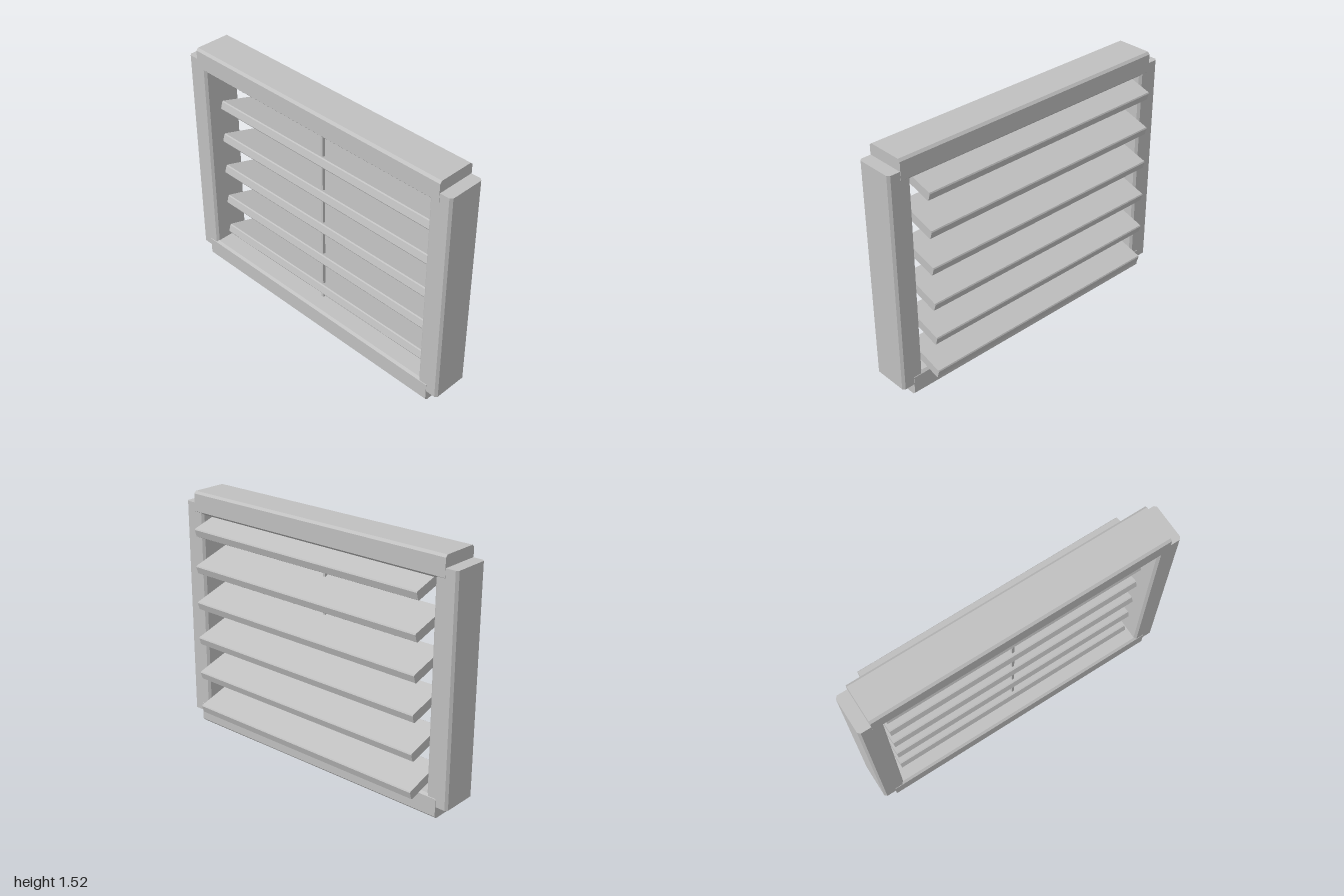
import * as THREE from 'three';

// Bar with chamfered long edges, running along z and centred on the origin
function chamferedBar(w, h, length, c) {
  const x = w / 2, y = h / 2;
  const shape = new THREE.Shape([
    [-x + c, -y], [x - c, -y], [x, -y + c], [x, y - c],
    [x - c, y], [-x + c, y], [-x, y - c], [-x, -y + c],
  ].map(([a, b]) => new THREE.Vector2(a, b)));
  const geometry = new THREE.ExtrudeGeometry(shape, { depth: length, bevelEnabled: false });
  return geometry.translate(0, 0, -length / 2);
}

export function createModel() {
  const model = new THREE.Group();
  model.name = 'louverWindow';
  const grey = new THREE.MeshStandardMaterial({ color: 0xc0c0c0 });
  grey.name = 'paleGrey';

  const add = (name, geometry, x, y, z) => {
    const mesh = new THREE.Mesh(geometry, grey);
    mesh.name = name;
    mesh.position.set(x, y, z);
    model.add(mesh);
    return mesh;
  };

  // Frame: two upright posts and two shorter-ended rails
  const postGeometry = chamferedBar(0.14, 0.24, 1.376, 0.014).rotateX(Math.PI / 2);
  add('leftPost', postGeometry, 0.93, 0.762, 0.05);
  add('rightPost', postGeometry, -0.93, 0.762, 0.05);

  const railGeometry = chamferedBar(0.245, 0.136, 1.85, 0.014).rotateY(Math.PI / 2);
  add('bottomRail', railGeometry, 0, 0.068, 0.05);
  add('topRail', railGeometry, 0, 1.452, 0.05);

  // Slats, sloping down towards the back
  const slatGeometry = chamferedBar(0.27, 0.056, 1.65, 0.006).rotateY(Math.PI / 2);
  for (let i = 0; i < 6; i++) {
    const slat = add('slat' + (i + 1), slatGeometry, 0, 0.184 + i * 0.231, -0.035);
    slat.rotation.x = -0.293;
  }

  // Thin upright rod linking the slats
  add('linkRod', new THREE.BoxGeometry(0.015, 1.21, 0.018), -0.004, 0.738, 0.06);

  return model;
}
